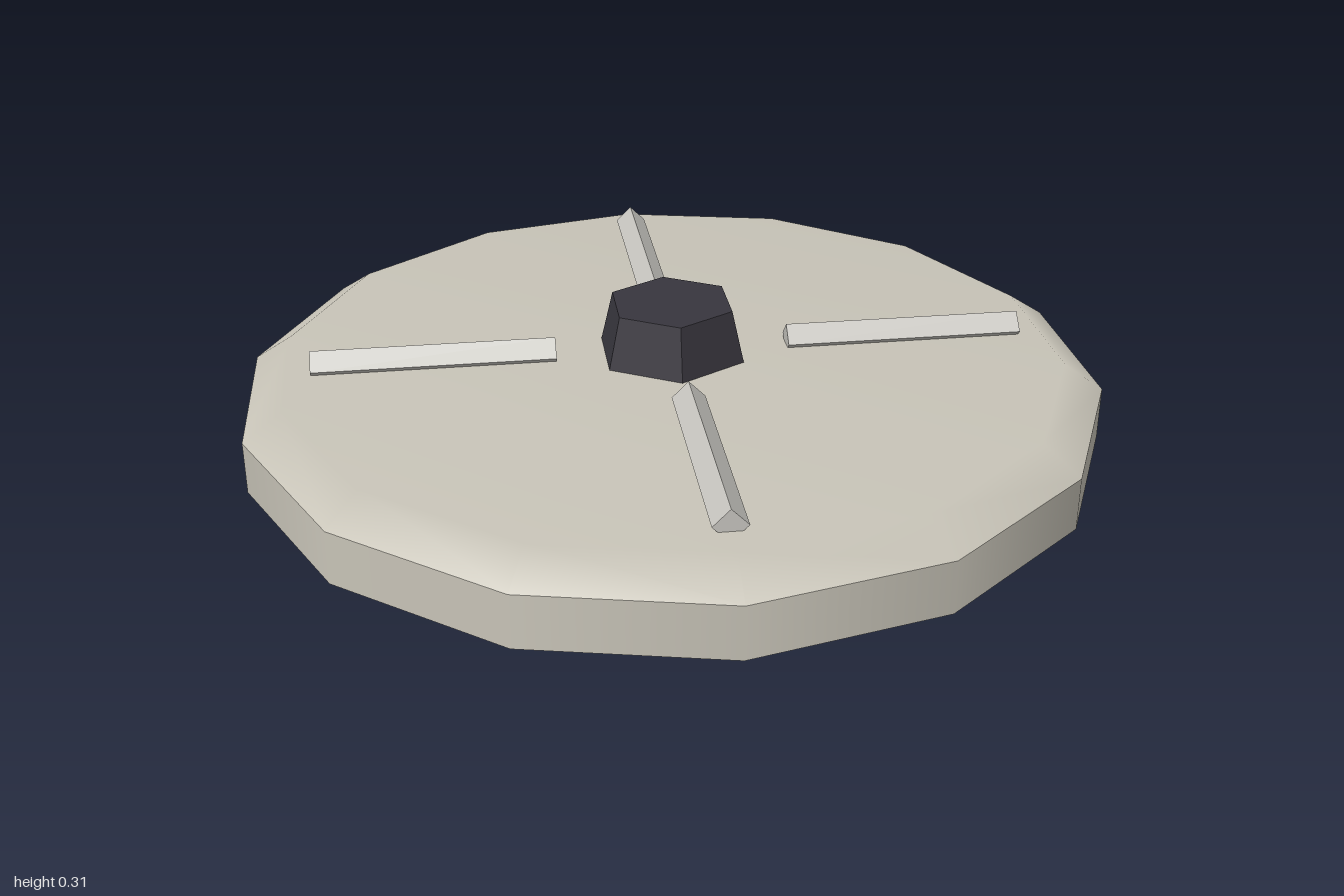
import * as THREE from 'three';

const SIDES = 14;

export function createModel() {
  const model = new THREE.Group();
  model.name = 'ribbedDisc';

  const stone = new THREE.MeshStandardMaterial({ color: 0xc8c4b8 });
  stone.name = 'warm pale grey';
  const trim = new THREE.MeshStandardMaterial({ color: 0xc8c6c0 });
  trim.name = 'light grey';
  const dark = new THREE.MeshStandardMaterial({ color: 0x38363e, flatShading: true });
  dark.name = 'charcoal';

  const add = (parent, name, geometry, material) => {
    const mesh = new THREE.Mesh(geometry, material);
    mesh.name = name;
    parent.add(mesh);
    return mesh;
  };
  const lathe = (points) =>
    new THREE.LatheGeometry(points.map(([r, y]) => new THREE.Vector2(r, y)), SIDES);

  // Disc: smooth rim wall, smooth bevelled top, flat underside
  const disc = new THREE.Group();
  disc.name = 'disc';
  model.add(disc);
  add(disc, 'rim', lathe([[1, 0], [1, 0.122]]), stone);
  add(disc, 'bevelledTop', lathe([[1, 0.122], [0.91, 0.182], [0, 0.182]]), stone);
  add(disc, 'underside', lathe([[0, 0], [1, 0]]), stone);

  // Hexagonal tapered hub
  const hub = add(model, 'hub', new THREE.CylinderGeometry(0.15, 0.18, 0.123, 6), dark);
  hub.position.y = 0.2435;

  // Four square bars set on edge, half sunk into the top
  const barSide = 0.0375 * Math.SQRT2;
  for (let i = 0; i < 4; i++) {
    const bar = new THREE.BoxGeometry(0.56, barSide, barSide);
    bar.rotateX(Math.PI / 4);
    bar.translate(0.552, 0.194, 0);
    bar.rotateY((i * Math.PI) / 2);
    add(model, 'radialBar' + (i + 1), bar, trim);
  }

  return model;
}
